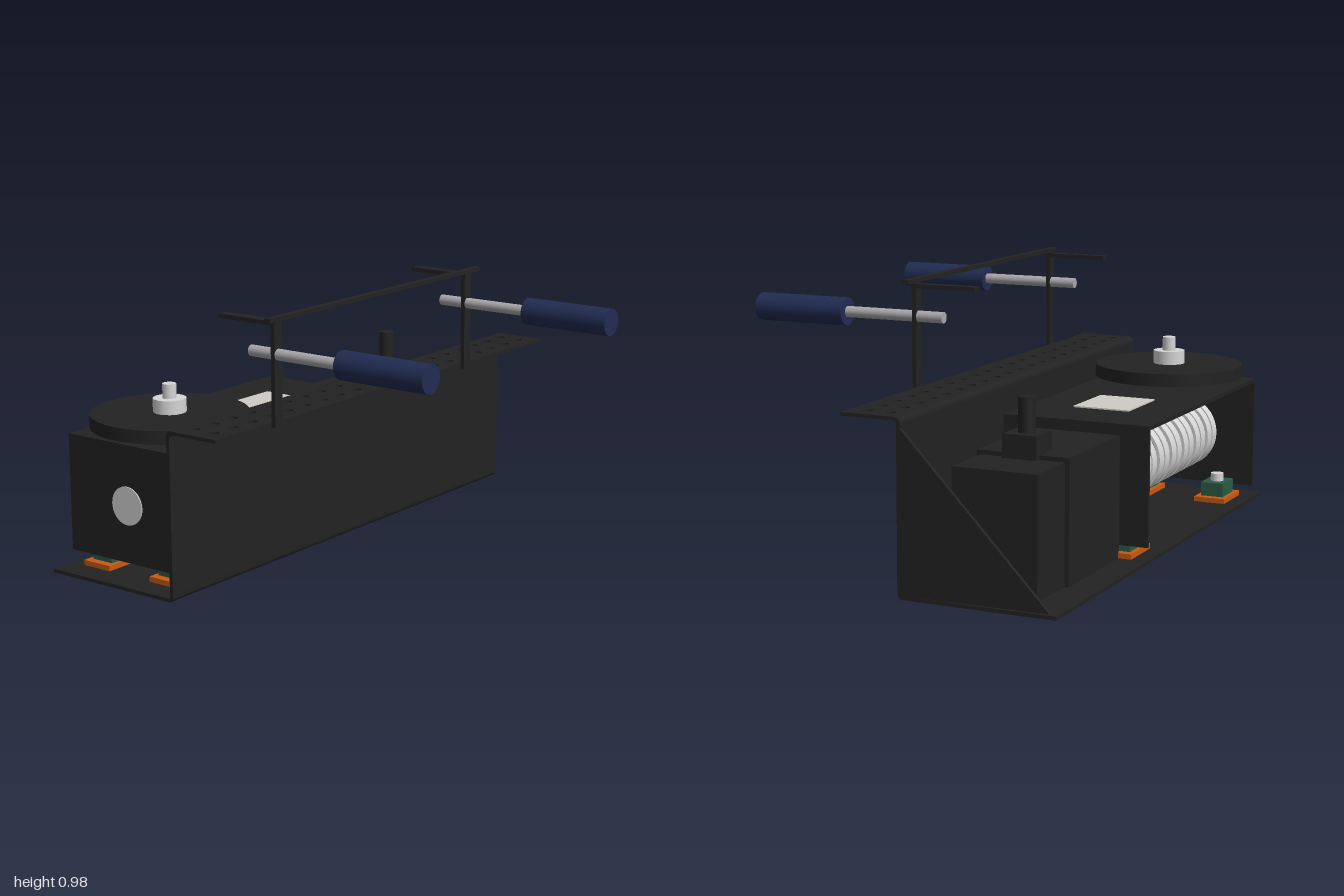
import * as THREE from 'three';

const mat = (name, color) => {
  const m = new THREE.MeshStandardMaterial({ color });
  m.name = name;
  return m;
};

export function createModel() {
  const root = new THREE.Group();
  const black = mat('black', 0x222222);
  const navy = mat('navy', 0x212c52);
  const steel = mat('steel', 0xa9a7aa);
  const light = mat('light grey', 0xd6d6d6);
  const paper = mat('paper', 0xcfccc5);
  const orange = mat('orange', 0xc85a14);
  const green = mat('green', 0x2c5a42);

  const add = (name, geo, m, parent = root) => {
    const mesh = new THREE.Mesh(geo, m);
    mesh.name = name;
    parent.add(mesh);
    return mesh;
  };
  // Box given by its limits on each axis
  const box = (name, m, [x0, x1], [y0, y1], [z0, z1], parent) =>
    add(name, new THREE.BoxGeometry(x1 - x0, y1 - y0, z1 - z0)
      .translate((x0 + x1) / 2, (y0 + y1) / 2, (z0 + z1) / 2), m, parent);
  const cylY = (name, m, r, y0, y1, x, z, parent, n = 32) =>
    add(name, new THREE.CylinderGeometry(r, r, y1 - y0, n).translate(x, (y0 + y1) / 2, z), m, parent);
  const cylX = (name, m, r, x0, x1, y, z, parent) =>
    add(name, new THREE.CylinderGeometry(r, r, x1 - x0, 40).rotateZ(Math.PI / 2)
      .translate((x0 + x1) / 2, y, z), m, parent);
  const cylZ = (name, m, r, z0, z1, x, y, parent) =>
    add(name, new THREE.CylinderGeometry(r, r, z1 - z0, 32).rotateX(Math.PI / 2)
      .translate(x, y, (z0 + z1) / 2), m, parent);
  // Extrude a side outline (horizontal = -z) along x
  const extrudeX = (name, shape, x0, x1) =>
    add(name, new THREE.ExtrudeGeometry(shape, { depth: x1 - x0, bevelEnabled: false, curveSegments: 8 })
      .rotateY(Math.PI / 2).translate(x0, 0, 0), black);

  // Bent sheet tray: floor, front wall and the start of the flange
  const s = new THREE.Shape();
  s.moveTo(0.715, 0);
  s.lineTo(0.715, 0.013);
  s.lineTo(0.17, 0.013);
  s.quadraticCurveTo(0.159, 0.013, 0.159, 0.024);
  s.lineTo(0.159, 0.58);
  s.quadraticCurveTo(0.159, 0.606, 0.133, 0.606);
  s.lineTo(0.12, 0.606);
  s.lineTo(0.12, 0.594);
  s.lineTo(0.133, 0.594);
  s.quadraticCurveTo(0.146, 0.594, 0.146, 0.58);
  s.lineTo(0.146, 0.024);
  s.quadraticCurveTo(0.146, 0, 0.17, 0);
  extrudeX('tray', s, -1, 1);

  // Perforated flange
  const f = new THREE.Shape([[-1, -0.12], [1, -0.12], [1, 0.06], [-1, 0.06]]
    .map(p => new THREE.Vector2(...p)));
  for (let i = 0; i < 20; i++) {
    for (const z of [-0.09, -0.005]) {
      f.holes.push(new THREE.Path().absarc(-0.93 + i * 0.098, z, 0.017, 0, Math.PI * 2, true));
    }
  }
  add('flange', new THREE.ExtrudeGeometry(f, { depth: 0.012, bevelEnabled: false, curveSegments: 8 })
    .rotateX(Math.PI / 2).translate(0, 0.606, 0), black);

  // Triangular end gusset
  extrudeX('endGusset', new THREE.Shape([[0.159, 0.013], [0.69, 0.018], [0.159, 0.568]]
    .map(p => new THREE.Vector2(...p))), 0.985, 1);

  // Drum housing, open at the back and below
  const housing = new THREE.Group();
  housing.name = 'drumHousing';
  root.add(housing);
  box('housingTop', black, [-0.9, 0.23], [0.475, 0.49], [-0.716, -0.16], housing);
  box('housingFront', black, [-0.9, 0.23], [0.06, 0.475], [-0.172, -0.16], housing);
  box('housingEnd', black, [-0.9, -0.887], [0.06, 0.475], [-0.716, -0.172], housing);
  box('housingEnd', black, [0.217, 0.23], [0.06, 0.475], [-0.716, -0.172], housing);
  box('topLabel', paper, [-0.255, 0], [0.49, 0.495], [-0.545, -0.33], housing);

  // Grooved drum on its shaft
  const drum = new THREE.Group();
  drum.name = 'drum';
  root.add(drum);
  cylX('drumCore', black, 0.128, -0.86, -0.11, 0.27, -0.44, drum);
  cylX('driveDisc', black, 0.19, 0.195, 0.217, 0.27, -0.44, drum);
  cylX('driveShaft', black, 0.06, -0.11, 0.2, 0.27, -0.44, drum);
  cylX('shaftEnd', light, 0.07, -0.904, -0.86, 0.27, -0.44, drum);
  for (let i = 0; i < 6; i++) {
    const x = -0.1 - i * 0.128;
    cylX('drumRing', light, 0.14, x - 0.045, x, 0.27, -0.44, drum);
    cylX('drumRingNeck', steel, 0.132, x - 0.056, x - 0.045, 0.27, -0.44, drum);
    cylX('drumRing', light, 0.14, x - 0.1, x - 0.056, 0.27, -0.44, drum);
  }

  // Mounts under the housing corners
  for (const x of [-0.815, 0.145]) {
    for (const z of [-0.595, -0.28]) {
      const mount = new THREE.Group();
      mount.name = 'mount';
      root.add(mount);
      box('mountPad', orange, [x - 0.09, x + 0.09], [0.013, 0.032], [z - 0.062, z + 0.062], mount);
      box('mountBlock', green, [x - 0.06, x + 0.06], [0.032, 0.085], [z - 0.045, z + 0.045], mount);
      cylY('mountBolt', light, 0.025, 0.085, 0.115, x, z, mount, 16);
    }
  }

  // Turntable
  const table = new THREE.Group();
  table.name = 'turntable';
  root.add(table);
  cylY('turntableDisc', black, 0.283, 0.517, 0.565, -0.67, -0.44, table, 64);
  cylY('turntableSpindle', black, 0.06, 0.49, 0.517, -0.67, -0.44, table);
  cylY('turntableCollar', light, 0.06, 0.565, 0.615, -0.67, -0.44, table, 16);
  cylY('turntableStem', light, 0.025, 0.615, 0.667, -0.67, -0.44, table, 16);

  // Motor unit
  const motor = new THREE.Group();
  motor.name = 'motorUnit';
  root.add(motor);
  box('motorBox', black, [0.23, 0.665], [0.013, 0.45], [-0.608, -0.27], motor);
  box('gearBox', black, [0.665, 0.88], [0.013, 0.435], [-0.593, -0.285], motor);
  box('sideLabel', paper, [0.36, 0.575], [0.12, 0.33], [-0.27, -0.263], motor);
  box('knobBase', black, [0.565, 0.688], [0.435, 0.517], [-0.5, -0.375], motor);
  cylY('knobStem', black, 0.03, 0.517, 0.638, 0.627, -0.437, motor);

  // Handle frame
  box('crossBar', black, [-0.777, 0.477], [0.965, 0.98], [0.087, 0.113]);
  for (const x of [-0.715, 0.415]) {
    const h = new THREE.Group();
    h.name = 'handle';
    root.add(h);
    box('post', black, [x - 0.02, x + 0.02], [0.597, 0.965], [0.08, 0.096], h);
    box('topArm', black, [x - 0.02, x + 0.02], [0.948, 0.963], [-0.147, 0.098], h);
    cylZ('handleRod', steel, 0.02, -0.02, 0.37, x, 0.848, h);
    cylZ('handleGrip', navy, 0.05, 0.365, 0.72, x, 0.848, h);
  }
  return root;
}
